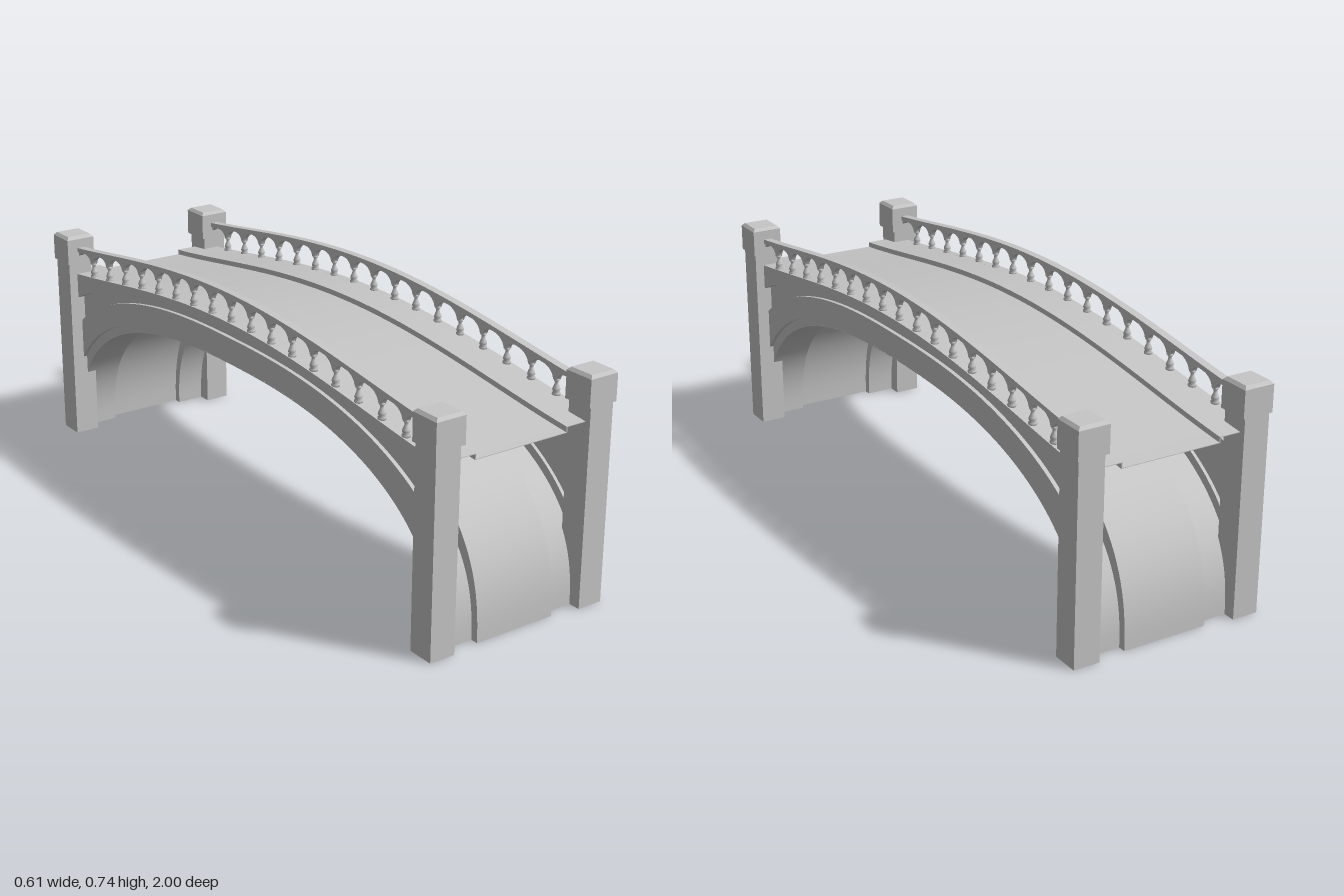
import * as THREE from 'three';
import { toCreasedNormals } from 'three/addons/utils/BufferGeometryUtils.js';

const stone = new THREE.MeshStandardMaterial({ color: 0xc6c6c6 });
stone.name = 'grey stone';

const N = 2.5; // roundness of the arches
const SPACING = 0.1025; // between balusters
const WALL_END = 0.9225;

// Height rules along the length of the bridge
const camber = (apex) => (z) => {
  const u = (z / 0.975) ** 2;
  return apex - 0.097 * (1.5 * u - 0.5 * u * u);
};
const arch = (h, a) => (z) => h * (1 - Math.min(1, Math.abs(z) / a) ** N) ** (1 / N);
const lowered = (f, d) => (z) => f(z) - d;

function addMesh(group, name, geometry) {
  const mesh = new THREE.Mesh(geometry, stone);
  mesh.name = name;
  group.add(mesh);
  return mesh;
}

// Extrude a side outline (z, y) across the width from x0 to x1
function across(points, x0, x1) {
  const geo = new THREE.ExtrudeGeometry(new THREE.Shape(points), {
    depth: x1 - x0, bevelEnabled: false, steps: 1,
  });
  geo.rotateY(Math.PI / 2);
  geo.translate(x0, 0, 0);
  return toCreasedNormals(geo, 0.5);
}

// Band between two height rules
function band(top, bottom, end, x0, x1, count = 72) {
  const lower = [], upper = [];
  for (let i = 0; i <= count; i++) {
    const z = -end + (2 * end * i) / count;
    lower.push(new THREE.Vector2(z, bottom(z)));
    upper.push(new THREE.Vector2(z, top(z)));
  }
  return across([...lower, ...upper.reverse()], x0, x1);
}

// Arched shell standing on the ground
function shell(h, a, innerH, innerA, x0, x1) {
  const curve = (hh, aa) => {
    const pts = [];
    for (let i = 0; i <= 72; i++) {
      const t = (Math.PI * i) / 72, c = Math.cos(t);
      pts.push(new THREE.Vector2(
        aa * Math.sign(c) * Math.abs(c) ** (2 / N),
        hh * Math.max(0, Math.sin(t)) ** (2 / N)));
    }
    return pts;
  };
  return across([...curve(h, a), ...curve(innerH, innerA).reverse()], x0, x1);
}

export function createModel() {
  const bridge = new THREE.Group();
  bridge.name = 'arched bridge';

  const deckTop = camber(0.631), curbTop = camber(0.647), railTop = camber(0.736);
  const line1 = arch(0.51, 0.957), line2 = arch(0.535, 0.985);
  const line3 = arch(0.595, 1.09), line4 = arch(0.62, 1.22);

  // Roadway and the vault beneath it
  addMesh(bridge, 'deck', band(deckTop, lowered(deckTop, 0.002), 0.976, -0.157, 0.157));
  addMesh(bridge, 'vault', shell(0.572, 0.98, 0.569, 0.977, -0.13, 0.13));

  // Scalloped underside of the handrail: one round arch per opening
  const scallop = (z) => {
    const f = z / SPACING;
    const t = Math.min(1, Math.abs(f - Math.floor(f) - 0.5) * SPACING / 0.045);
    return railTop(z) - 0.016 - 0.03 * (1 - Math.sqrt(1 - t * t));
  };

  // Vase-shaped baluster
  const balusterGeo = new THREE.LatheGeometry([
    [0, -0.004], [0.012, -0.004], [0.012, 0.005], [0.008, 0.007], [0.0115, 0.014],
    [0.01, 0.02], [0.0055, 0.03], [0.005, 0.037], [0.008, 0.04], [0.008, 0.046], [0, 0.046],
  ].map(([r, y]) => new THREE.Vector2(r, y)), 12);

  for (const s of [1, -1]) {
    const side = new THREE.Group();
    side.name = s > 0 ? 'leftSide' : 'rightSide';
    bridge.add(side);
    const span = (a, b) => (s > 0 ? [a, b] : [-b, -a]);

    // Lower outer rib and the step up to the vault
    addMesh(side, 'rib', shell(0.51, 0.957, 0.507, 0.954, ...span(0.13, 0.25)));
    addMesh(side, 'ribStep', shell(0.572, 0.98, 0.507, 0.954, ...span(0.129, 0.131)));

    // Stepped side wall, from the arch upwards
    addMesh(side, 'archRing', band(line2, line1, WALL_END, ...span(0.238, 0.25)));
    addMesh(side, 'archMoulding', band(line3, line2, WALL_END, ...span(0.248, 0.262)));
    addMesh(side, 'spandrel', band(line4, line3, WALL_END, ...span(0.238, 0.25)));
    addMesh(side, 'fascia', band(curbTop, line4, WALL_END, ...span(0.248, 0.272)));
    addMesh(side, 'curb', band(curbTop, lowered(curbTop, 0.002), 0.976, ...span(0.155, 0.26)));
    addMesh(side, 'curbFace', band(curbTop, lowered(deckTop, 0.001), 0.976, ...span(0.154, 0.157)));

    // Balustrade
    addMesh(side, 'handrail', band(railTop, lowered(railTop, 0.014), WALL_END, ...span(0.245, 0.27)));
    addMesh(side, 'railArches',
      band(lowered(railTop, 0.012), scallop, WALL_END, ...span(0.249, 0.266), 18 * 20));
    for (let i = -8; i <= 8; i++) {
      const z = i * SPACING;
      addMesh(side, 'baluster', balusterGeo).position.set(s * 0.2575, curbTop(z), z);
    }

    // End pillars with chamfered caps
    for (const e of [1, -1]) {
      const pillar = new THREE.Group();
      pillar.name = e > 0 ? 'frontPillar' : 'backPillar';
      pillar.position.set(s * 0.26, 0, e * 0.9525);
      side.add(pillar);
      addMesh(pillar, 'shaft', new THREE.BoxGeometry(0.08, 0.6, 0.083)).position.y = 0.3;
      addMesh(pillar, 'cap', new THREE.BoxGeometry(0.095, 0.081, 0.095)).position.set(-s * 0.002, 0.6355, 0);
      const top = new THREE.CylinderGeometry(0.039 * Math.SQRT2, 0.0475 * Math.SQRT2, 0.009, 4).toNonIndexed();
      top.rotateY(Math.PI / 4);
      top.computeVertexNormals();
      addMesh(pillar, 'capChamfer', top).position.set(-s * 0.002, 0.6805, 0);
    }
  }
  return bridge;
}
